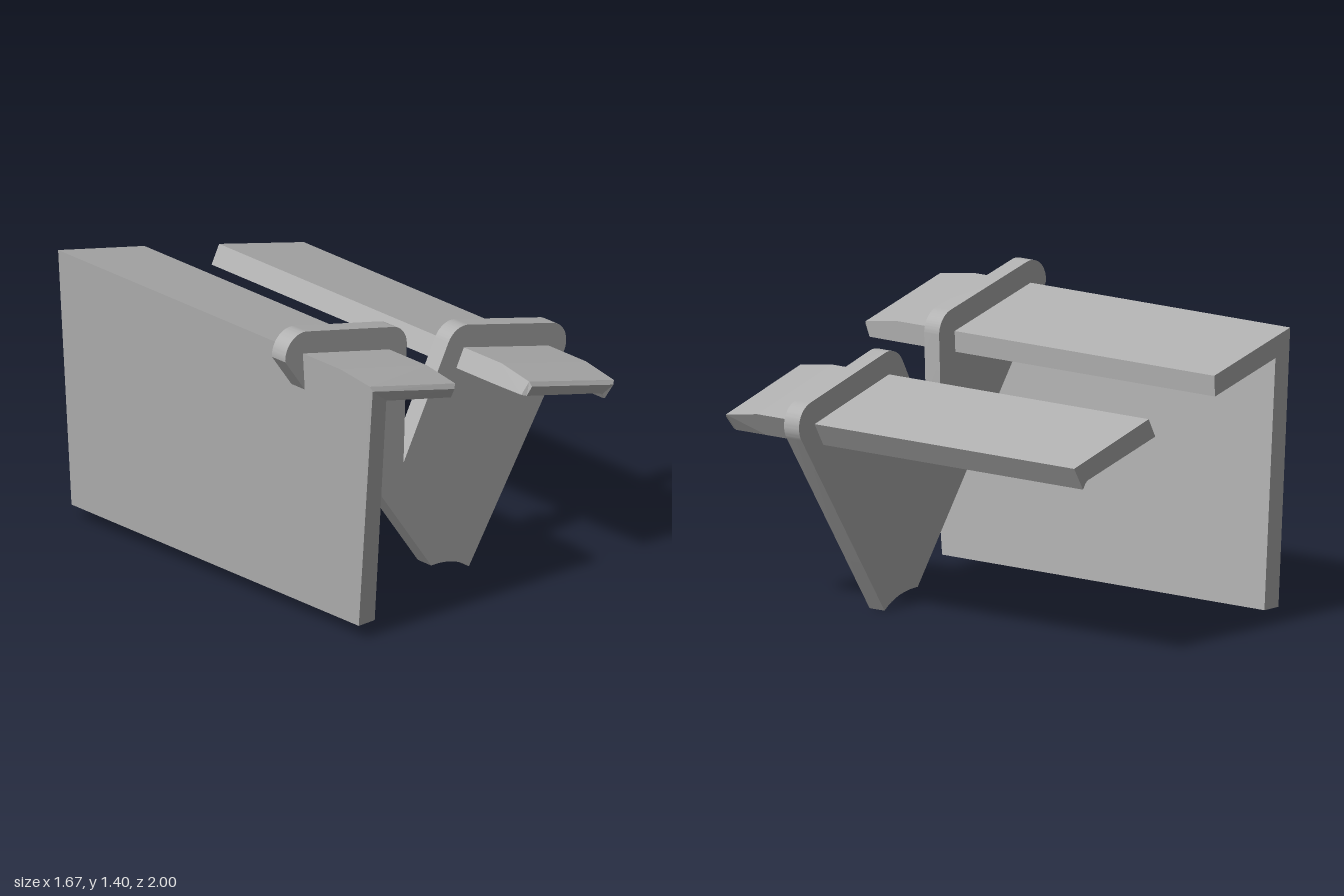
import * as THREE from 'three';
import { toCreasedNormals } from 'three/addons/utils/BufferGeometryUtils.js';

const grey = new THREE.MeshStandardMaterial({ color: 0xb0b0b0 });
grey.name = 'grey';

// Joins rings of [x, y, z] points, listed back to front and anticlockwise from the front
function loft(rings) {
  const pos = [];
  const tri = (...corners) => corners.forEach((c) => pos.push(...c));
  const n = rings[0].length;
  for (let i = 0; i < rings.length - 1; i++) {
    for (let j = 0; j < n; j++) {
      const k = (j + 1) % n;
      const a = rings[i], b = rings[i + 1];
      tri(a[j], a[k], b[k]);
      tri(a[j], b[k], b[j]);
    }
  }
  const back = rings[0], front = rings[rings.length - 1];
  const faces = THREE.ShapeUtils.triangulateShape(back.map(([x, y]) => new THREE.Vector2(x, y)), []);
  for (const [a, b, c] of faces) {
    tri(back[c], back[b], back[a]);
    tri(front[a], front[b], front[c]);
  }
  const g = new THREE.BufferGeometry();
  g.setAttribute('position', new THREE.Float32BufferAttribute(pos, 3));
  g.computeVertexNormals();
  return g;
}

const atZ = (profile, z) => profile.map(([x, y]) => [x, y, z]);

function part(name, geometry) {
  const mesh = new THREE.Mesh(geometry, grey);
  mesh.name = name;
  return mesh;
}

// Cross plate: lobes rounded around the outer corners of the rails
function crossPlate() {
  const s = new THREE.Shape();
  const r = 0.105;
  const corner = (x, y, from, to) =>
    s.absarc(x, y, r, THREE.MathUtils.degToRad(from), THREE.MathUtils.degToRad(to), true);
  s.moveTo(-0.755, 0.07);
  corner(-0.735, 1.295, 183.7, 75.3);
  corner(-0.22, 1.165, 75.3, -2);
  s.lineTo(-0.135, 0.605);
  corner(0.225, 1.045, 151, 75.3);
  corner(0.73, 0.905, 75.3, -33.6);
  s.lineTo(0.255, 0);
  s.quadraticCurveTo(0.17, 0.07, 0.03, 0.07);
  s.closePath();
  const g = new THREE.ExtrudeGeometry(s, { depth: 0.085, bevelEnabled: false, curveSegments: 12 });
  g.translate(0, 0, 0.475);
  return toCreasedNormals(g, 0.5);
}

// Angled rail: upright wall with a sloping flange, front edge raked
function angledRail() {
  const profile = [[-0.655, 0.07], [-0.56, 0.07], [-0.635, 1.18], [-0.225, 1.075], [-0.22, 1.168], [-0.735, 1.3]];
  return loft([
    atZ(profile, -1),
    atZ(profile, 0.8),
    [[-0.655, 0.07, 0.83], [-0.56, 0.07, 0.83], [-0.635, 1.18, 0.975], [-0.228, 1.075, 0.965],
      [-0.225, 1.142, 0.985], [-0.733, 1.275, 0.985]],
    [[-0.655, 0.07, 0.831], [-0.56, 0.07, 0.831], [-0.635, 1.18, 0.985], [-0.245, 1.08, 0.98],
      [-0.243, 1.125, 1], [-0.73, 1.255, 1]],
  ]);
}

// Flat rail: sloping bar with a small lip under its outer edge
function flatRail() {
  const profile = [[0.18, 0.962], [0.635, 0.842], [0.652, 0.832], [0.67, 0.805], [0.73, 0.907], [0.225, 1.047]];
  return loft([
    atZ(profile, -1),
    atZ(profile, 0.8),
    [[0.184, 0.962, 0.97], [0.635, 0.842, 0.97], [0.652, 0.832, 0.97], [0.67, 0.805, 0.97],
      [0.722, 0.88, 0.985], [0.217, 1.02, 0.985]],
    [[0.202, 0.957, 0.985], [0.635, 0.842, 0.985], [0.652, 0.832, 0.985], [0.668, 0.81, 0.985],
      [0.705, 0.867, 1], [0.22, 1, 1]],
  ]);
}

export function createModel() {
  const model = new THREE.Group();
  model.name = 'bracket';
  model.add(
    part('crossPlate', crossPlate()),
    part('angledRail', angledRail()),
    part('flatRail', flatRail()),
  );
  return model;
}
